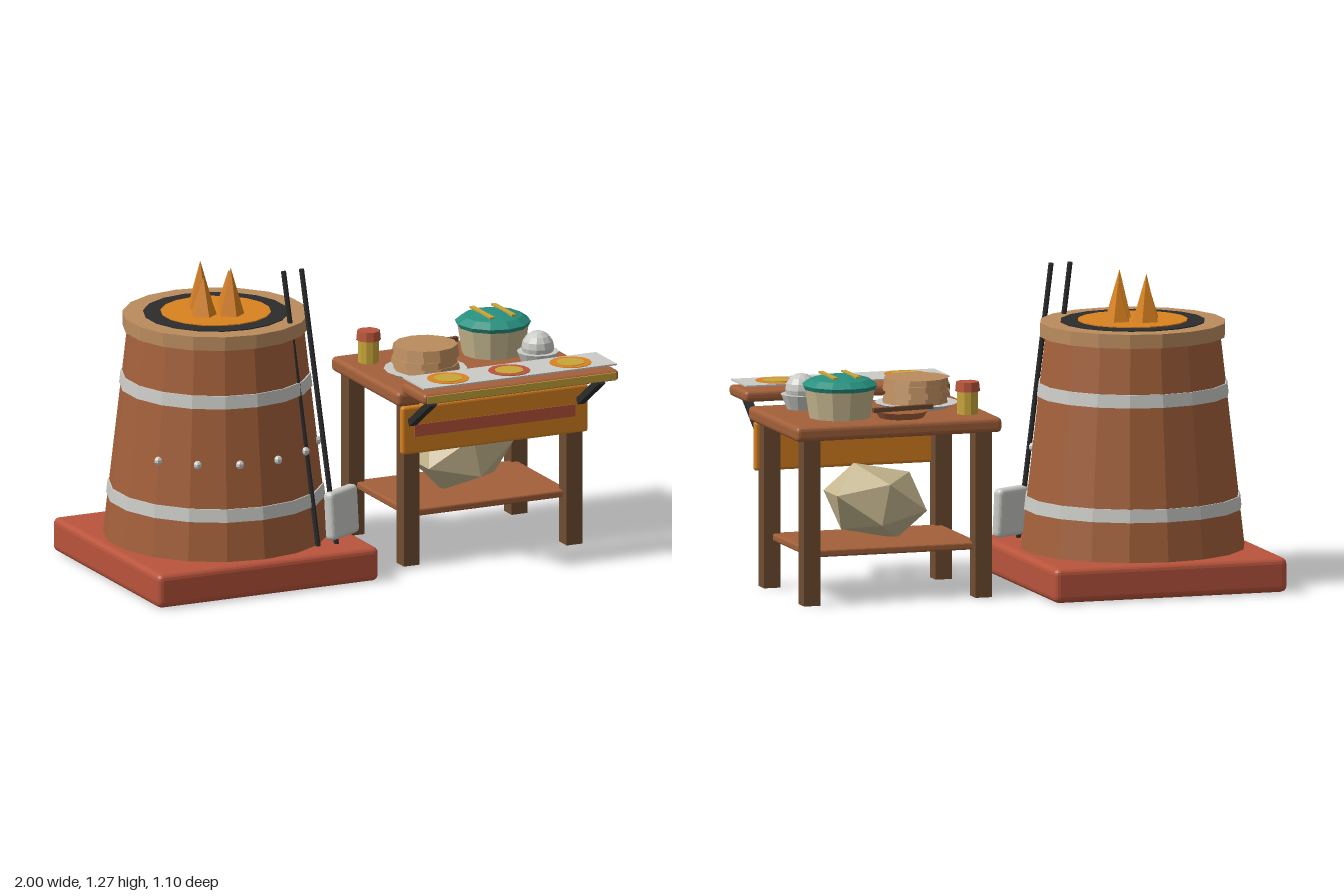
import * as THREE from 'three';
import { RoundedBoxGeometry } from 'three/addons/geometries/RoundedBoxGeometry.js';

const mat = (name, color) => {
  const m = new THREE.MeshStandardMaterial({ color, flatShading: true });
  m.name = name;
  return m;
};

export function createModel() {
  const root = new THREE.Group();
  root.name = 'ovenAndFoodTable';
  const brown = mat('clay brown', 0xa3603a);
  const red = mat('brick red', 0xb9543c);
  const tan = mat('tan', 0xbb8c5e);
  const grey = mat('light grey', 0xcacac6);
  const black = mat('charcoal', 0x2c2c2c);
  const orange = mat('orange', 0xd9821f);
  const gold = mat('gold', 0xc9a63a);
  const teal = mat('teal', 0x26907f);
  const beige = mat('beige', 0xc6b78f);
  const wood = mat('dark wood', 0x6f4d33);

  const add = (name, geo, material, x, y, z, parent = root) => {
    const m = new THREE.Mesh(geo, material);
    m.name = name;
    m.position.set(x, y, z);
    parent.add(m);
    return m;
  };
  const group = (name, x = 0, y = 0, z = 0) => {
    const g = new THREE.Group();
    g.name = name;
    g.position.set(x, y, z);
    root.add(g);
    return g;
  };
  const box = (w, h, d, r = 0) =>
    r ? new RoundedBoxGeometry(w, h, d, 2, r) : new THREE.BoxGeometry(w, h, d);
  // cylinder standing on its origin
  const cyl = (rTop, rBottom, h, n = 18) =>
    new THREE.CylinderGeometry(rTop, rBottom, h, n).translate(0, h / 2, 0);
  // round bar between two points
  const bar = (name, a, b, r, material, parent) => {
    const dir = new THREE.Vector3().subVectors(b, a);
    const m = add(name, new THREE.CylinderGeometry(r, r, dir.length(), 8), material, 0, 0, 0, parent);
    m.position.addVectors(a, b).multiplyScalar(0.5);
    m.quaternion.setFromUnitVectors(new THREE.Vector3(0, 1, 0), dir.normalize());
    return m;
  };
  const V = (x, y, z) => new THREE.Vector3(x, y, z);

  // ---- Oven ----
  const oven = group('oven', -0.507, 0, -0.058);
  add('base', box(0.985, 0.14, 0.985, 0.025), red, 0, 0.07, 0, oven);
  const wallRadius = (y) => 0.453 - ((y - 0.14) / 0.86) * 0.098;
  add('ovenBody', cyl(wallRadius(1), wallRadius(0.14), 0.86), brown, 0, 0.14, 0, oven);
  for (const y of [0.3, 0.757]) {
    add('band', cyl(wallRadius(y + 0.053) + 0.006, wallRadius(y) + 0.006, 0.053), grey, 0, y, 0, oven);
  }
  add('rim', cyl(0.375, 0.375, 0.057), tan, 0, 0.997, 0, oven);
  add('mouthRing', cyl(0.292, 0.292, 0.005), black, 0, 1.053, 0, oven);
  add('embers', cyl(0.222, 0.222, 0.009), orange, 0, 1.053, 0, oven);

  // rivets across the front half
  for (const deg of [-60, -36, -12, 12, 36, 60]) {
    const a = THREE.MathUtils.degToRad(deg), r = wallRadius(0.53);
    add('rivet', new THREE.SphereGeometry(0.018, 6, 5), grey, r * Math.sin(a), 0.53, r * Math.cos(a), oven);
  }

  // flames
  for (const [x, z, h] of [[-0.54, -0.133, 0.2], [-0.475, 0.013, 0.2], [-0.578, -0.025, 0.16], [-0.434, -0.09, 0.16]]) {
    add('flame', new THREE.ConeGeometry(0.057, h, 5).translate(0, h / 2, 0), orange, x + 0.507, 1.055, z + 0.058, oven);
  }

  // ---- Fire tools ----
  const tools = group('fireTools');
  bar('poker', V(-0.215, 0, 0.32), V(-0.325, 1.265, 0.19), 0.011, black, tools);
  bar('shovelHandle', V(-0.133, 0, 0.32), V(-0.245, 1.265, 0.19), 0.011, black, tools);
  const blade = add('shovelBlade', box(0.185, 0.2, 0.05, 0.02), grey, -0.103, 0.255, 0.265, tools);
  blade.rotation.set(-0.06, 0.5, 0, 'YXZ');

  // ---- Table ----
  const table = group('table');
  add('tableTop', box(0.87, 0.06, 0.62, 0.018), brown, 0.565, 0.7, -0.008, table);
  for (const x of [0.2, 0.925]) {
    for (const z of [0.25, -0.257]) add('tableLeg', box(0.07, 0.68, 0.07), wood, x, 0.34, z, table);
  }
  add('lowerShelf', box(0.72, 0.03, 0.5, 0.008), brown, 0.5625, 0.205, -0.004, table);
  add('frontBanner', box(0.83, 0.2, 0.03, 0.012), orange, 0.565, 0.568, 0.287, table);
  add('bannerStripe', box(0.715, 0.05, 0.006), red, 0.562, 0.565, 0.303, table);
  const sack = add('flourSack', new THREE.IcosahedronGeometry(1, 0), beige, 0.562, 0.369, 0, table);
  sack.scale.set(0.228, 0.16, 0.164);
  sack.rotation.z = 0.2;

  // ---- Serving counter ----
  const counter = group('servingCounter');
  add('counterBoard', box(0.87, 0.045, 0.212, 0.016), brown, 0.565, 0.76, 0.439, counter);
  add('counterTrim', box(0.84, 0.03, 0.008), gold, 0.565, 0.76, 0.545, counter);
  add('counterPlate', box(0.86, 0.006, 0.195), grey, 0.565, 0.803, 0.434, counter);
  [[0.29, orange], [0.562, red], [0.835, orange]].forEach(([x, color]) => {
    add('discRim', cyl(0.085, 0.085, 0.003, 16), color, x, 0.805, 0.434, counter);
    add('discCentre', cyl(0.057, 0.057, 0.005, 16), gold, x, 0.805, 0.434, counter);
  });
  for (const x of [0.19, 0.94]) {
    const brace = add('counterBrace', box(0.03, 0.235, 0.028), black, x, 0.668, 0.403, counter);
    brace.rotation.x = Math.atan2(0.19, 0.13);
  }

  // ---- Lidded pot ----
  const pot = group('pot', 0.742, 0.73, -0.088);
  add('potBody', cyl(0.145, 0.125, 0.125, 12), beige, 0, 0, 0, pot);
  const lid = [[0, 0.115], [0.145, 0.115], [0.153, 0.132], [0.12, 0.155], [0.06, 0.168], [0, 0.17]];
  add('potLid', new THREE.LatheGeometry(lid.map((p) => new THREE.Vector2(...p)), 12), teal, 0, 0, 0, pot);
  for (const x of [-0.048, 0.048]) add('lidStrip', box(0.02, 0.008, 0.19), gold, x, 0.17, 0, pot);

  // ---- Dough ball in a bowl ----
  const bowl = group('doughBowl', 0.818, 0.73, 0.168);
  add('smallBowl', cyl(0.085, 0.06, 0.06, 12), grey, 0, 0, 0, bowl);
  add('doughBall', new THREE.SphereGeometry(0.066, 12, 8), grey, 0, 0.078, 0, bowl);

  // ---- Stack of flatbreads ----
  const stack = group('breadStack', 0.365, 0.73, 0.07);
  add('breadPlate', cyl(0.168, 0.13, 0.02, 16), grey, 0, 0, 0, stack);
  [[0.004, 0.004], [-0.006, 0], [0.006, -0.005], [0, 0]].forEach(([x, z], i) => {
    add('flatbread', cyl(0.129, 0.134, 0.025, 12), tan, x, 0.02 + i * 0.0255, z, stack);
  });

  // ---- Dish with rolling pin ----
  const dish = group('dish', 0.51, 0.73, -0.172);
  add('dishBody', cyl(0.108, 0.09, 0.027, 12), brown, 0, 0, 0, dish);
  const pin = add('rollingPin', box(0.265, 0.018, 0.02), wood, 0, 0.038, -0.02, dish);
  pin.rotation.y = 0.13;

  // ---- Spice jar ----
  const jar = group('spiceJar', 0.23, 0.73, -0.175);
  add('jarBody', cyl(0.042, 0.042, 0.095, 10), gold, 0, 0, 0, jar);
  add('jarLid', cyl(0.046, 0.05, 0.038, 10), red, 0, 0.093, 0, jar);

  return root;
}
